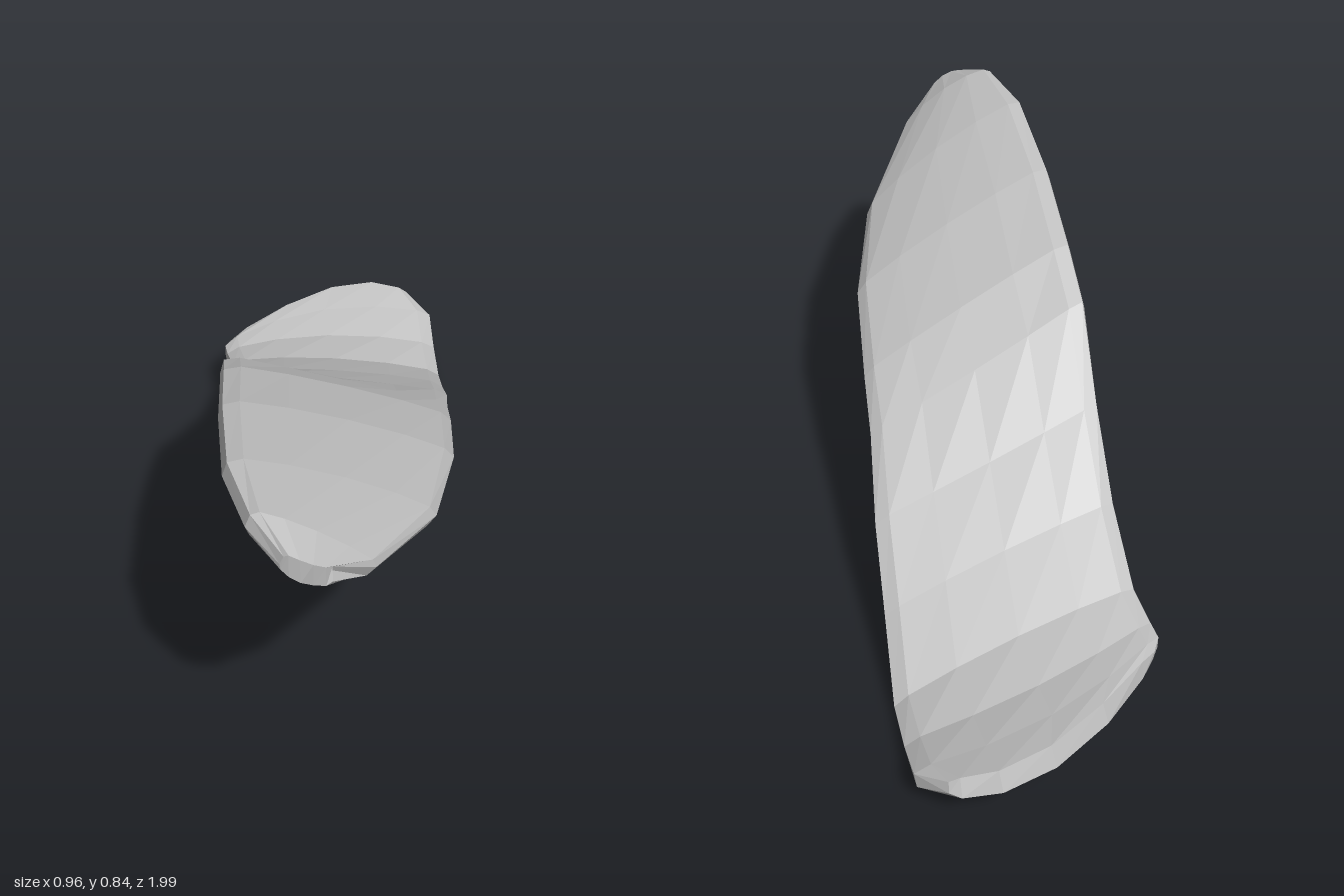
import * as THREE from 'three';

// Each section: left edge, middle and right edge points, then half thickness
const SECTIONS = [
  [-0.43, 0.80, 0.965, -0.385, 0.775, 0.99, -0.33, 0.745, 0.975, 0.025],
  [-0.475, 0.835, 0.87, -0.36, 0.775, 0.90, -0.23, 0.68, 0.91, 0.034],
  [-0.48, 0.825, 0.68, -0.24, 0.715, 0.68, -0.02, 0.58, 0.67, 0.037],
  [-0.43, 0.77, 0.40, -0.15, 0.65, 0.40, 0.115, 0.515, 0.40, 0.037],
  [-0.375, 0.69, 0.15, -0.08, 0.56, 0.15, 0.195, 0.43, 0.15, 0.037],
  [-0.345, 0.615, 0, -0.05, 0.475, 0, 0.24, 0.36, 0, 0.037],
  [-0.29, 0.445, -0.20, 0, 0.34, -0.20, 0.31, 0.25, -0.20, 0.035],
  [-0.24, 0.29, -0.40, 0.05, 0.225, -0.40, 0.365, 0.135, -0.40, 0.035],
  [-0.20, 0.185, -0.60, 0.10, 0.13, -0.60, 0.42, 0.035, -0.60, 0.034],
  [-0.195, 0.16, -0.70, 0.12, 0.112, -0.76, 0.45, 0.045, -0.74, 0.034],
  [-0.19, 0.155, -0.75, 0.14, 0.13, -0.88, 0.475, 0.085, -0.86, 0.037],
  [-0.16, 0.155, -0.785, 0.19, 0.155, -0.975, 0.43, 0.13, -0.945, 0.028],
];

// Position across the blade and share of the thickness there
const ACROSS = [[0, 0.45], [0.06, 0.85], [0.25, 1], [0.5, 1.05], [0.75, 1], [0.94, 0.85], [1, 0.45]];

// Point on the curve through left, middle and right
function pointAcross(s, u) {
  const a = (1 - u) * (1 - 2 * u), b = 4 * u * (1 - u), c = u * (2 * u - 1);
  return new THREE.Vector3(...[0, 1, 2].map(k => a * s[k] + b * s[3 + k] + c * s[6 + k]));
}

// Closed ring: upper face left to right, lower face right to left
function ring(i) {
  const s = SECTIONS[i];
  const before = SECTIONS[Math.max(i - 1, 0)];
  const after = SECTIONS[Math.min(i + 1, SECTIONS.length - 1)];
  const top = [], bottom = [];
  for (const [u, share] of ACROSS) {
    const along = pointAcross(before, u).sub(pointAcross(after, u));
    const side = pointAcross(s, Math.min(u + 0.1, 1)).sub(pointAcross(s, Math.max(u - 0.1, 0)));
    const normal = along.cross(side).normalize();
    const p = pointAcross(s, u);
    top.push(p.clone().addScaledVector(normal, s[9] * share));
    bottom.unshift(p.clone().addScaledVector(normal, -s[9] * share));
  }
  return [...top, ...bottom];
}

function bladeGeometry() {
  const rings = SECTIONS.map((_, i) => ring(i));
  const n = rings[0].length, last = rings.length - 1;
  const index = [];
  // Skin between neighbouring rings
  for (let i = 0; i < last; i++) {
    for (let j = 0; j < n; j++) {
      const k = (j + 1) % n;
      const a = i * n + j, b = i * n + k, c = b + n, d = a + n;
      index.push(a, b, c, a, c, d);
    }
  }
  // End caps, stitched between upper and lower face
  for (let j = 0; j < ACROSS.length - 1; j++) {
    const a = j, b = j + 1, c = n - 2 - j, d = n - 1 - j;
    index.push(a, c, b, a, d, c);
    const o = last * n;
    index.push(o + a, o + b, o + c, o + a, o + c, o + d);
  }
  const geometry = new THREE.BufferGeometry().setFromPoints(rings.flat());
  geometry.setIndex(index);
  geometry.computeVertexNormals();
  return geometry;
}

export function createModel() {
  const group = new THREE.Group();
  group.name = 'twistedBlade';
  const grey = new THREE.MeshStandardMaterial({ color: 0xc0c0c0, flatShading: true });
  grey.name = 'light grey';
  const blade = new THREE.Mesh(bladeGeometry(), grey);
  blade.name = 'blade';
  group.add(blade);
  return group;
}
